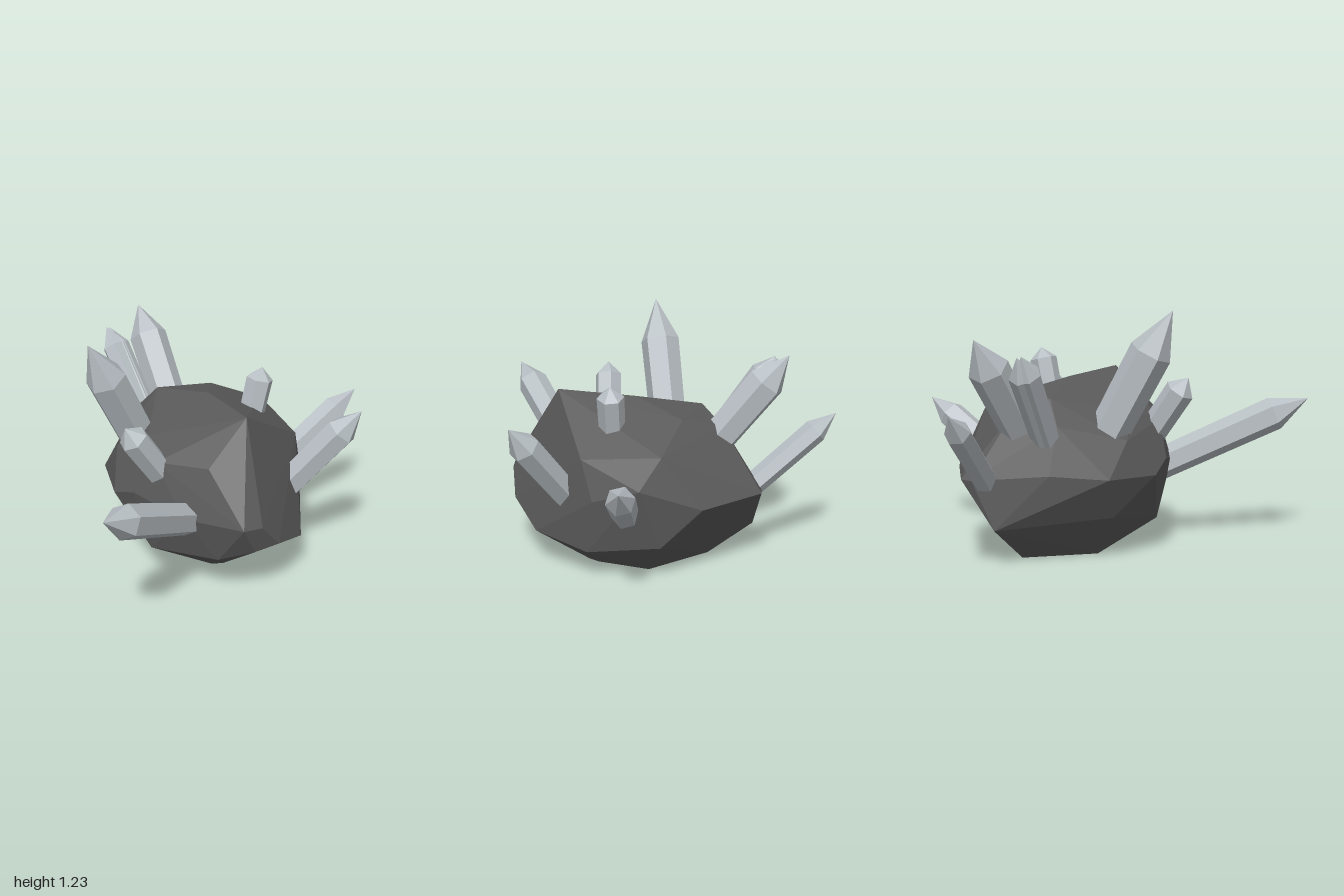
import * as THREE from 'three';
import { ConvexGeometry } from 'three/addons/geometries/ConvexGeometry.js';

const UP = new THREE.Vector3(0, 1, 0);

// Corner points of the faceted boulder, ring by ring
const ROCK = [
  // flat underside
  [-0.37, 0, -0.06], [-0.14, 0, 0.21], [0.13, 0, 0.08], [0.11, 0, -0.2], [-0.21, 0, -0.41],
  // lower slope
  [-0.1, 0.05, 0.3], [0.2, 0.045, 0.1], [0.36, 0.16, 0.04], [0.3, 0.2, 0.36], [0.25, 0.2, -0.32], [-0.29, 0.18, -0.63],
  [-0.46, 0.16, 0.25], [-0.17, 0.21, 0.53], [0, 0.28, 0.61], [0.13, 0.29, 0.57], [-0.54, 0.22, -0.1],
  // widest belt
  [-0.63, 0.43, -0.2], [-0.62, 0.42, 0.1], [-0.54, 0.48, 0.24], [-0.33, 0.42, 0.46], [0.03, 0.42, 0.63], [-0.07, 0.43, 0.665],
  [0.38, 0.45, 0], [0.19, 0.42, -0.52], [-0.14, 0.42, -0.72], [-0.2, 0.42, -0.7], [-0.46, 0.45, -0.43],
  // shoulders and crown
  [0.345, 0.53, -0.24], [0.25, 0.69, -0.32], [0.335, 0.65, 0.08], [-0.2, 0.68, 0.46], [0.01, 0.89, 0.36], [-0.1, 0.87, -0.03],
  [-0.03, 0.8, -0.32], [-0.32, 0.8, -0.32], [-0.44, 0.72, 0.1], [-0.43, 0.66, 0.29], [-0.58, 0.6, -0.05],
  [-0.22, 0.73, -0.47], [-0.43, 0.68, -0.36],
];

// Buried root, tip, radius, length of the point, twist
const CRYSTALS = [
  { name: 'frontLongCrystal', root: [-0.25, 0.36, 0.36], tip: [-0.78, 0.745, 1], r: 0.087, point: 0.19, twist: 0.3 },
  { name: 'tallCrystal', root: [-0.45, 0.6, -0.08], tip: [-0.72, 1.23, 0.11], r: 0.105, point: 0.23, twist: 0.2 },
  { name: 'backTallCrystal', root: [-0.235, 0.65, -0.44], tip: [-0.345, 1.11, -0.775], r: 0.1, point: 0.18, twist: 0.5 },
  { name: 'twinCrystalA', root: [-0.37, 0.58, -0.36], tip: [-0.54, 1.04, -0.645], r: 0.068, point: 0.11, twist: 0 },
  { name: 'twinCrystalB', root: [-0.36, 0.58, -0.37], tip: [-0.525, 1.035, -0.66], r: 0.068, point: 0.11, twist: 0.5 },
  { name: 'backLowCrystal', root: [-0.2, 0.38, -0.6], tip: [-0.48, 0.79, -1], r: 0.064, point: 0.14, twist: 0.2 },
  { name: 'frontSmallCrystal', root: [-0.38, 0.55, 0.25], tip: [-0.585, 0.88, 0.34], r: 0.075, point: 0.08, twist: 0.1 },
  { name: 'leftFrontCrystal', root: [0.24, 0.39, 0.19], tip: [0.602, 0.86, 0.34], r: 0.082, point: 0.15, twist: 0.4 },
  { name: 'leftBackCrystal', root: [0.28, 0.36, -0.14], tip: [0.78, 0.692, -0.32], r: 0.074, point: 0.16, twist: 0.6 },
  { name: 'topSmallCrystal', root: [0.095, 0.65, 0.01], tip: [0.177, 0.995, -0.01], r: 0.07, point: 0.06, twist: 0.5 },
];

// Six-sided prism with a pyramid point, aimed from root to tip
function makeCrystal({ name, root, tip, r, point, twist }, material) {
  const start = new THREE.Vector3(...root);
  const axis = new THREE.Vector3(...tip).sub(start);
  const length = axis.length();
  const profile = [[0, 0], [r * 0.95, 0], [r, length - point], [0, length]].map(([x, y]) => new THREE.Vector2(x, y));
  const geometry = new THREE.LatheGeometry(profile, 6).rotateY(twist);
  const mesh = new THREE.Mesh(geometry, material);
  mesh.name = name;
  mesh.position.copy(start);
  mesh.quaternion.setFromUnitVectors(UP, axis.normalize());
  return mesh;
}

export function createModel() {
  const stone = new THREE.MeshStandardMaterial({ color: 0x5a5a5a, flatShading: true });
  stone.name = 'dark stone';
  const crystal = new THREE.MeshStandardMaterial({ color: 0xb8bfc4, flatShading: true });
  crystal.name = 'pale crystal';

  const group = new THREE.Group();
  group.name = 'crystalRock';

  // Boulder
  const rock = new THREE.Mesh(new ConvexGeometry(ROCK.map((p) => new THREE.Vector3(...p))), stone);
  rock.name = 'boulder';
  group.add(rock);

  // Crystals growing out of the boulder
  const cluster = new THREE.Group();
  cluster.name = 'crystals';
  CRYSTALS.forEach((c) => cluster.add(makeCrystal(c, crystal)));
  group.add(cluster);
  return group;
}
